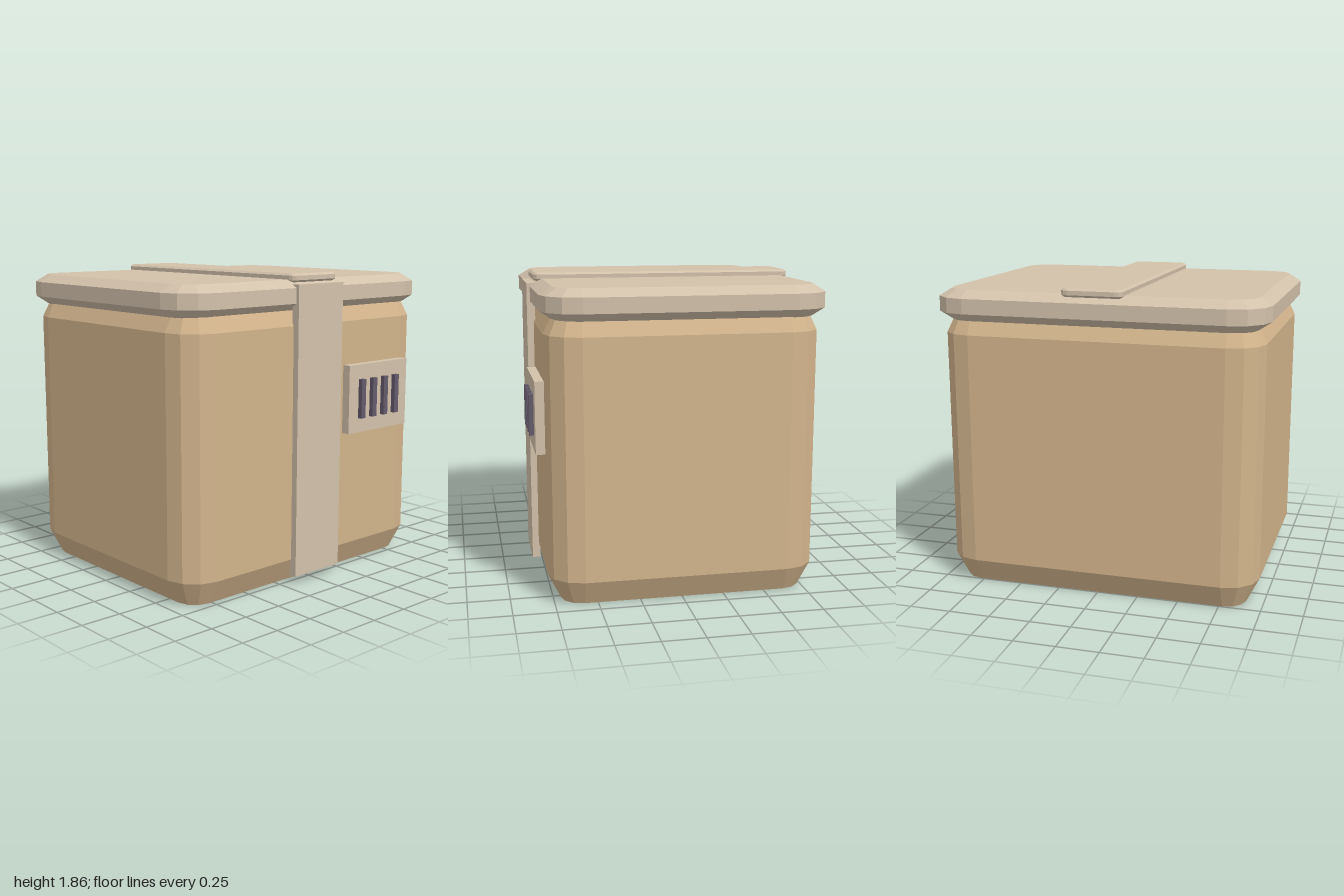
import * as THREE from 'three';

const tan = new THREE.MeshStandardMaterial({ name: 'tan shell', color: 0xd2b48c });
const beige = new THREE.MeshStandardMaterial({ name: 'beige trim', color: 0xd2c1aa });
const plum = new THREE.MeshStandardMaterial({ name: 'dark plum vents', color: 0x645a6b });

// Outline of a rounded rectangle, inset by d, counter-clockwise seen from above
function ring(hx, hz, r, d, y) {
  const points = [];
  for (let corner = 0; corner < 4; corner++) {
    const sx = corner === 0 || corner === 3 ? 1 : -1;
    const sz = corner < 2 ? 1 : -1;
    for (let k = 0; k <= 3; k++) {
      const a = (corner + k / 3) * Math.PI / 2;
      points.push([
        sx * (hx - r) + Math.cos(a) * (r - d),
        y,
        -(sz * (hz - r) + Math.sin(a) * (r - d)),
      ]);
    }
  }
  return points;
}

// Faceted rounded block lofted through a profile of [inset, height], bottom to top
function roundedBlock(hx, hz, r, profile) {
  const rings = profile.map(([d, y]) => ring(hx, hz, r, d, y));
  const n = rings[0].length;
  const out = [];
  const tri = (a, b, c) => out.push(...a, ...b, ...c);
  for (let i = 0; i < rings.length - 1; i++) {
    for (let j = 0; j < n; j++) {
      const k = (j + 1) % n;
      tri(rings[i][j], rings[i][k], rings[i + 1][k]);
      tri(rings[i][j], rings[i + 1][k], rings[i + 1][j]);
    }
  }
  const bottom = rings[0];
  const top = rings[rings.length - 1];
  for (let j = 1; j < n - 1; j++) {
    tri(bottom[0], bottom[j + 1], bottom[j]);
    tri(top[0], top[j], top[j + 1]);
  }
  const g = new THREE.BufferGeometry();
  g.setAttribute('position', new THREE.Float32BufferAttribute(out, 3));
  g.computeVertexNormals();
  return g;
}

export function createModel() {
  const model = new THREE.Group();
  model.name = 'storageCrate';

  const add = (name, geometry, material, x = 0, y = 0, z = 0) => {
    const mesh = new THREE.Mesh(geometry, material);
    mesh.name = name;
    mesh.position.set(x, y, z);
    model.add(mesh);
  };
  // Box given by its limits on each axis
  const addBox = (name, material, [x0, x1], [y0, y1], [z0, z1]) =>
    add(name, new THREE.BoxGeometry(x1 - x0, y1 - y0, z1 - z0), material,
      (x0 + x1) / 2, (y0 + y1) / 2, (z0 + z1) / 2);

  // Body with chamfered foot and shoulder
  add('body', roundedBlock(0.97, 0.8, 0.2,
    [[0.075, 0], [0, 0.15], [0, 1.56], [0.05, 1.66]]), tan, 0, 0, -0.02);

  // Overhanging lid, chamfered above and below
  add('lid', roundedBlock(1, 0.83, 0.22,
    [[0.075, 1.64], [0, 1.69], [0, 1.78], [0.075, 1.825]]), beige, 0, 0, -0.03);

  // Strap over the lid and strap down the front
  add('topStrap', roundedBlock(0.185, 0.81, 0.045,
    [[0.015, 1.81], [0, 1.822], [0, 1.848], [0.015, 1.86]]), beige, 0, 0, -0.03);
  addBox('frontStrap', beige, [-0.185, 0.185], [0.05, 1.8], [0.77, 0.82]);

  // Vent panel with four slats
  addBox('ventPanel', beige, [0.245, 0.78], [0.87, 1.293], [0.779, 0.833]);
  for (let i = 0; i < 4; i++) {
    const x = 0.349 + i * 0.103;
    addBox('ventSlat' + (i + 1), plum, [x - 0.019, x + 0.019], [0.96, 1.203], [0.82, 0.86]);
  }

  return model;
}
